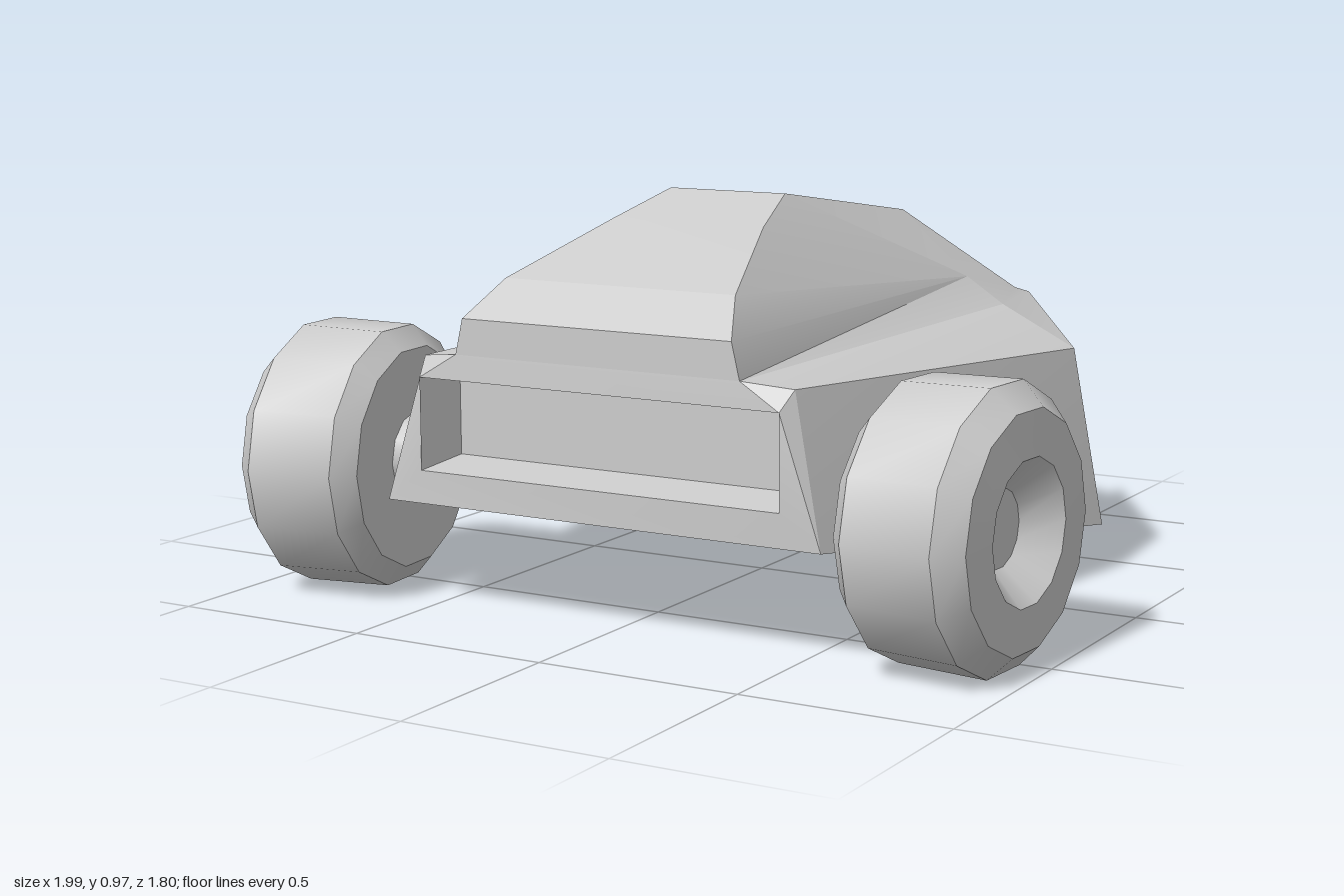
import * as THREE from 'three';
import { toCreasedNormals } from 'three/addons/utils/BufferGeometryUtils.js';

const shell = new THREE.MeshStandardMaterial({ color: 0xcccccc, side: THREE.DoubleSide });

// Corner points; the first set is mirrored, the mirrored copy has an underscore
const P = {
  sillFront: [0.575, 0.27, 0.77], sillBack: [0.76, 0.13, -0.38],
  fenderFront: [0.49, 0.615, 0.73], fenderBack: [0.68, 0.57, -0.37],
  ridgeFront: [0.375, 0.63, 0.77], ridgeBack: [0.45, 0.655, -0.45],
  p0: [0.355, 0.715, 0.77], p1: [0.305, 0.8, 0.665], p2: [0.205, 0.915, 0.36],
  p3: [0.158, 0.975, 0.17], p4: [0.155, 0.88, -0.47], q: [0.35, 0.72, -0.45],
  k: [0.1, 0.84, -0.55],
  mouthTop: [0.475, 0.57, 0.775], mouthBottom: [0.475, 0.35, 0.775],
  mouthTopIn: [0.45, 0.55, 0.65], mouthBottomIn: [0.45, 0.37, 0.65],
};
for (const [n, [x, y, z]] of Object.entries(P)) P[n + '_'] = [-x, y, z];

// Torn, uneven back edge
Object.assign(P, {
  B: [0.365, 0.64, -0.81], C: [0.36, 0.66, -0.73], D: [0.165, 0.64, -0.85],
  E: [-0.04, 0.64, -0.85], F: [-0.21, 0.69, -0.645], G: [-0.41, 0.63, -0.73],
  H: [-0.39, 0.64, -0.83], T: [0.4, 0.31, -0.84], L: [0.42, 0.1, -0.695],
  tip: [0.03, 0.465, -0.895], M: [-0.07, 0.1, -0.69], N: [-0.2, 0.125, -0.43],
  R: [-0.45, 0.1, -0.69], S: [-0.4, 0.33, -0.82],
});

const flip = (n) => (n.endsWith('_') ? n.slice(0, -1) : n + '_');
const mirrored = (faces) => faces.concat(
  faces.map((f) => f.split(' ').map(flip).reverse().join(' ')));

// Each face is a string of corner names, split as a fan from the first
function panel(name, faces) {
  const pos = [];
  for (const f of faces) {
    const c = f.split(' ').map((n) => P[n]);
    for (let i = 1; i < c.length - 1; i++) pos.push(...c[0], ...c[i], ...c[i + 1]);
  }
  const g = new THREE.BufferGeometry();
  g.setAttribute('position', new THREE.Float32BufferAttribute(pos, 3));
  const mesh = new THREE.Mesh(toCreasedNormals(g, 0.3), shell);
  mesh.name = name;
  return mesh;
}

function createBody() {
  const body = new THREE.Group();
  body.name = 'body';
  body.add(
    panel('sideWalls', mirrored(['sillFront sillBack fenderBack fenderFront'])),
    panel('fenders', mirrored(['fenderFront fenderBack ridgeBack ridgeFront'])),
    panel('cabin', [
      ...mirrored([
        'ridgeFront ridgeBack q p0', 'q p1 p0', 'q p2 p1', 'q p3 p2', 'q p4 p3',
      ]),
      'ridgeFront p0 p0_ ridgeFront_', 'p0 p1 p1_ p0_', 'p1 p2 p2_ p1_',
      'p2 p3 p3_ p2_', 'p3 p4 p4_ p3_',
    ]),
    panel('nose', [
      ...mirrored(['sillFront fenderFront mouthTop mouthBottom', 'mouthTop fenderFront ridgeFront']),
      'mouthTop ridgeFront ridgeFront_ mouthTop_',
      'sillFront mouthBottom mouthBottom_ sillFront_',
    ]),
    panel('grilleRecess', [
      ...mirrored(['mouthTop mouthTopIn mouthBottomIn mouthBottom']),
      'mouthTop mouthTop_ mouthTopIn_ mouthTopIn',
      'mouthBottomIn mouthBottomIn_ mouthBottom_ mouthBottom',
      'mouthTopIn mouthTopIn_ mouthBottomIn_ mouthBottomIn',
    ]),
    panel('rearDeck', [
      'p4 k k_ p4_', 'k D E k_', 'p4 q C k', 'k C D', 'q ridgeBack C',
      'ridgeBack fenderBack B C',
      'p4_ k_ F', 'k_ E F', 'p4_ F q_', 'q_ F G', 'q_ G ridgeBack_',
      'ridgeBack_ G H fenderBack_',
    ]),
    panel('rearWalls', [
      'fenderBack sillBack L T B', 'B T L C', 'C L D', 'D L M',
      'D M tip', 'D tip E', 'E tip M', 'E M N F', 'F N G', 'G N R',
      'G R S H', 'fenderBack_ H S R sillBack_',
    ]),
    panel('floor', [
      'N M L sillBack sillFront sillFront_ sillBack_ R',
    ]),
  );
  return body;
}

// Wheel turned around its axle, outer face towards +x
function createWheel(name) {
  const wheel = new THREE.Group();
  wheel.name = name;
  const profile = [
    [0, -0.16], [0.27, -0.16], [0.32, -0.115], [0.325, 0.105], [0.27, 0.16],
    [0.165, 0.165], [0.09, 0.09], [0, 0.09],
  ].map(([r, y]) => new THREE.Vector2(r, y));
  const tyre = new THREE.LatheGeometry(profile, 14).rotateZ(-Math.PI / 2);
  const tyreMesh = new THREE.Mesh(toCreasedNormals(tyre, 0.5), shell);
  tyreMesh.name = 'tyre';
  const axle = new THREE.CylinderGeometry(0.12, 0.075, 0.13, 12)
    .rotateZ(-Math.PI / 2).translate(-0.2, 0, 0);
  const axleMesh = new THREE.Mesh(toCreasedNormals(axle, 0.6), shell);
  axleMesh.name = 'axle';
  wheel.add(tyreMesh, axleMesh);
  return wheel;
}

export function createModel() {
  const model = new THREE.Group();
  model.name = 'carWreck';
  model.add(createBody());

  // Both wheels are steered slightly inwards
  const left = createWheel('leftWheel');
  left.position.set(0.815, 0.325, 0.57);
  left.rotation.y = -0.08;
  const right = createWheel('rightWheel');
  right.position.set(-0.81, 0.33, 0.575);
  right.rotation.y = Math.PI + 0.1;
  model.add(left, right);
  return model;
}
